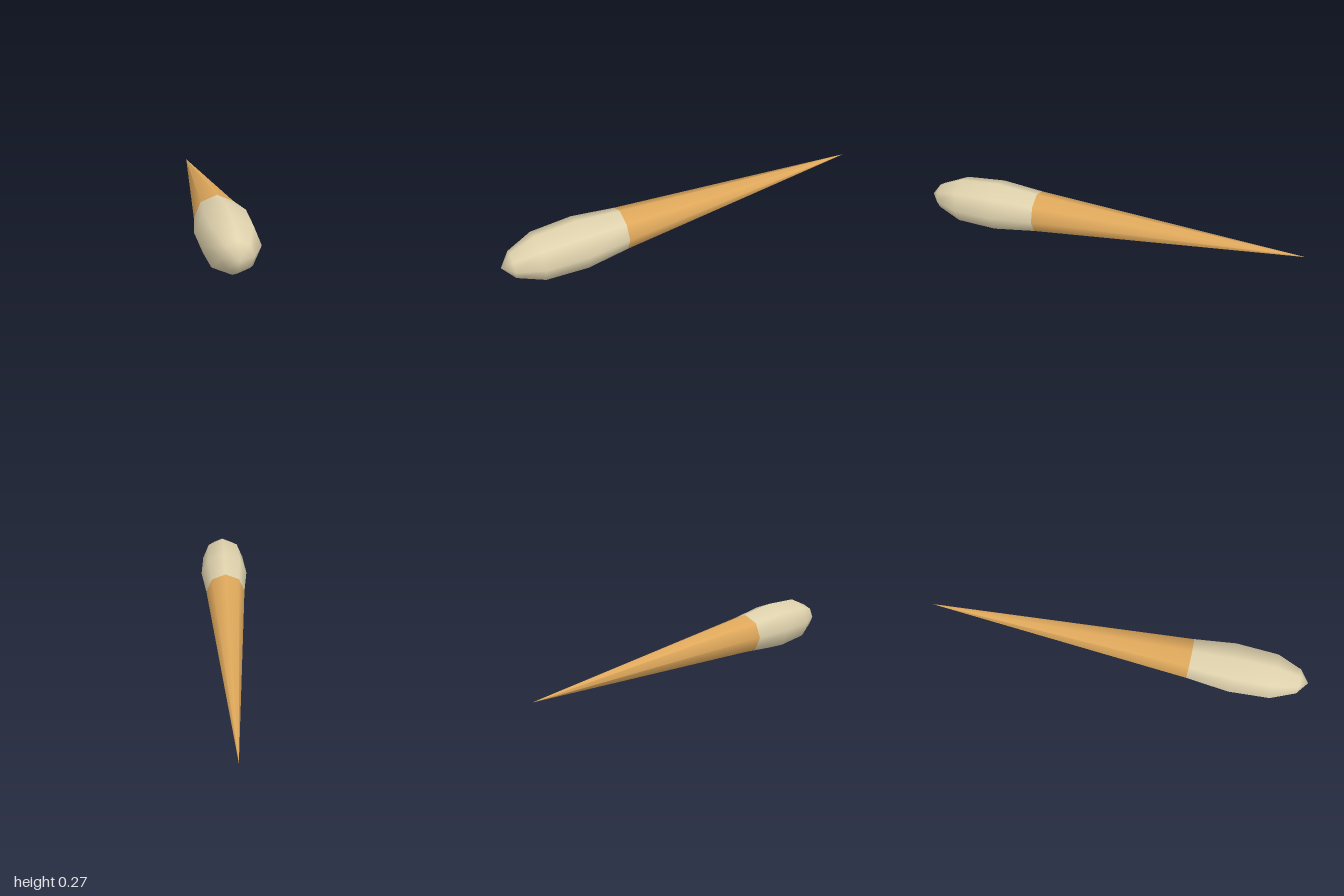
import * as THREE from 'three';

const SIDES = 8;
const AXIS_Y = 0.135;

// Eight-sided smooth body of revolution along z; profile is [radius, z] from back to front
function turned(name, profile, material) {
  const geometry = new THREE.LatheGeometry(profile.map(([r, z]) => new THREE.Vector2(r, z)), SIDES);
  // Points on the axis get an axial normal so the ends shade smoothly
  const { position, normal } = geometry.attributes;
  for (let i = 0; i < position.count; i++) {
    if (Math.hypot(position.getX(i), position.getZ(i)) < 1e-5) {
      normal.setXYZ(i, 0, Math.sign(position.getY(i)), 0);
    }
  }
  geometry.rotateX(Math.PI / 2);
  const mesh = new THREE.Mesh(geometry, material);
  mesh.name = name;
  mesh.position.y = AXIS_Y;
  return mesh;
}

export function createModel() {
  const cream = new THREE.MeshStandardMaterial({ color: 0xe0d3ae });
  cream.name = 'cream';
  const amber = new THREE.MeshStandardMaterial({ color: 0xe0a95c });
  amber.name = 'amber';

  const group = new THREE.Group();
  group.name = 'taperedDart';

  // Long tapering tail
  group.add(turned('tail', [[0, -1], [0.004, -0.95], [0.108, 0.39]], amber));

  // Rounded head with a blunt point
  group.add(turned('head', [[0.108, 0.39], [0.133, 0.61], [0.121, 0.82], [0.067, 0.947], [0, 1]], cream));

  return group;
}
